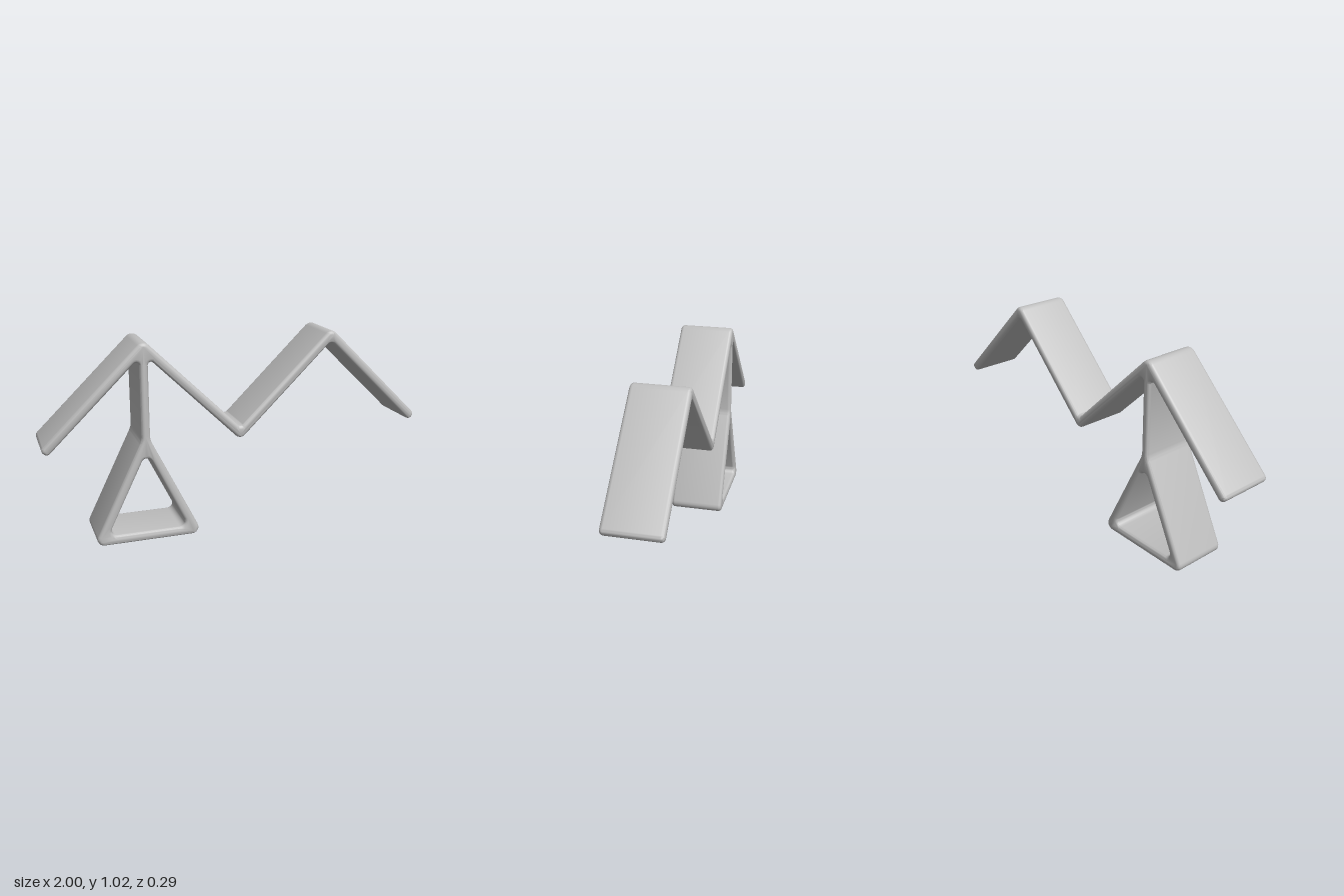
import * as THREE from 'three';
import { toCreasedNormals } from 'three/addons/utils/BufferGeometryUtils.js';

// Traces a closed polygon of [x, y, cornerRadius] with rounded corners
function roundedPath(path, corners) {
  const n = corners.length;
  corners.forEach(([x, y, r], i) => {
    const p = new THREE.Vector2(x, y);
    const a = new THREE.Vector2(...corners[(i + n - 1) % n]).sub(p).normalize();
    const b = new THREE.Vector2(...corners[(i + 1) % n]).sub(p).normalize();
    const turn = Math.PI - Math.acos(THREE.MathUtils.clamp(a.dot(b), -1, 1));
    const t = r * Math.tan(turn / 2);
    const c = t - (4 / 3) * Math.tan(turn / 4) * r;
    const at = (dir, d) => p.clone().addScaledVector(dir, d);
    const start = at(a, t), end = at(b, t), c1 = at(a, c), c2 = at(b, c);
    if (i === 0) path.moveTo(start.x, start.y);
    else path.lineTo(start.x, start.y);
    path.bezierCurveTo(c1.x, c1.y, c2.x, c2.y, end.x, end.y);
  });
  path.closePath();
  return path;
}

export function createModel() {
  const grey = new THREE.MeshStandardMaterial({ color: 0xbfbfbf });
  grey.name = 'light grey';

  const cx = -0.494;   // axis of the hanging triangle
  const half = 0.022;  // half the post thickness

  // Zigzag band, post and triangle in one continuous outline
  const outline = roundedPath(new THREE.Shape(), [
    // underside of the left arm, then down the post and around the triangle
    [-0.976, 0.501, 0.022],
    [cx - half, 0.949, 0.015],
    [cx - half, 0.535, 0.1],
    [cx - 0.285, 0, 0.035],
    [cx + 0.285, 0, 0.035],
    [cx + half, 0.535, 0.1],
    [cx + half, 0.949, 0.015],
    // underside of the remaining zigzag
    [0, 0.488, 0.033],
    [0.492, 0.97, 0.025],
    [0.976, 0.501, 0.022],
    // upper side, back to the left end
    [1.01, 0.535, 0.022],
    [0.492, 1.039, 0.04],
    [0, 0.556, 0.02],
    [cx, 1.039, 0.04],
    [-1.01, 0.535, 0.022],
  ]);

  // Triangular opening
  outline.holes.push(roundedPath(new THREE.Path(), [
    [cx - 0.207, 0.049, 0.028],
    [cx, 0.474, 0.026],
    [cx + 0.207, 0.049, 0.028],
  ]));

  const bevel = 0.018, depth = 0.29;
  const geometry = new THREE.ExtrudeGeometry(outline, {
    depth: depth - 2 * bevel,
    bevelThickness: bevel,
    bevelSize: bevel,
    bevelOffset: -bevel,
    bevelSegments: 4,
    curveSegments: 6,
  });
  geometry.translate(0, 0, bevel - depth / 2);

  const band = new THREE.Mesh(toCreasedNormals(geometry, 0.7), grey);
  band.name = 'zigzagBandWithHangingTriangle';

  const model = new THREE.Group();
  model.name = 'zigzagOrnament';
  model.add(band);
  return model;
}
